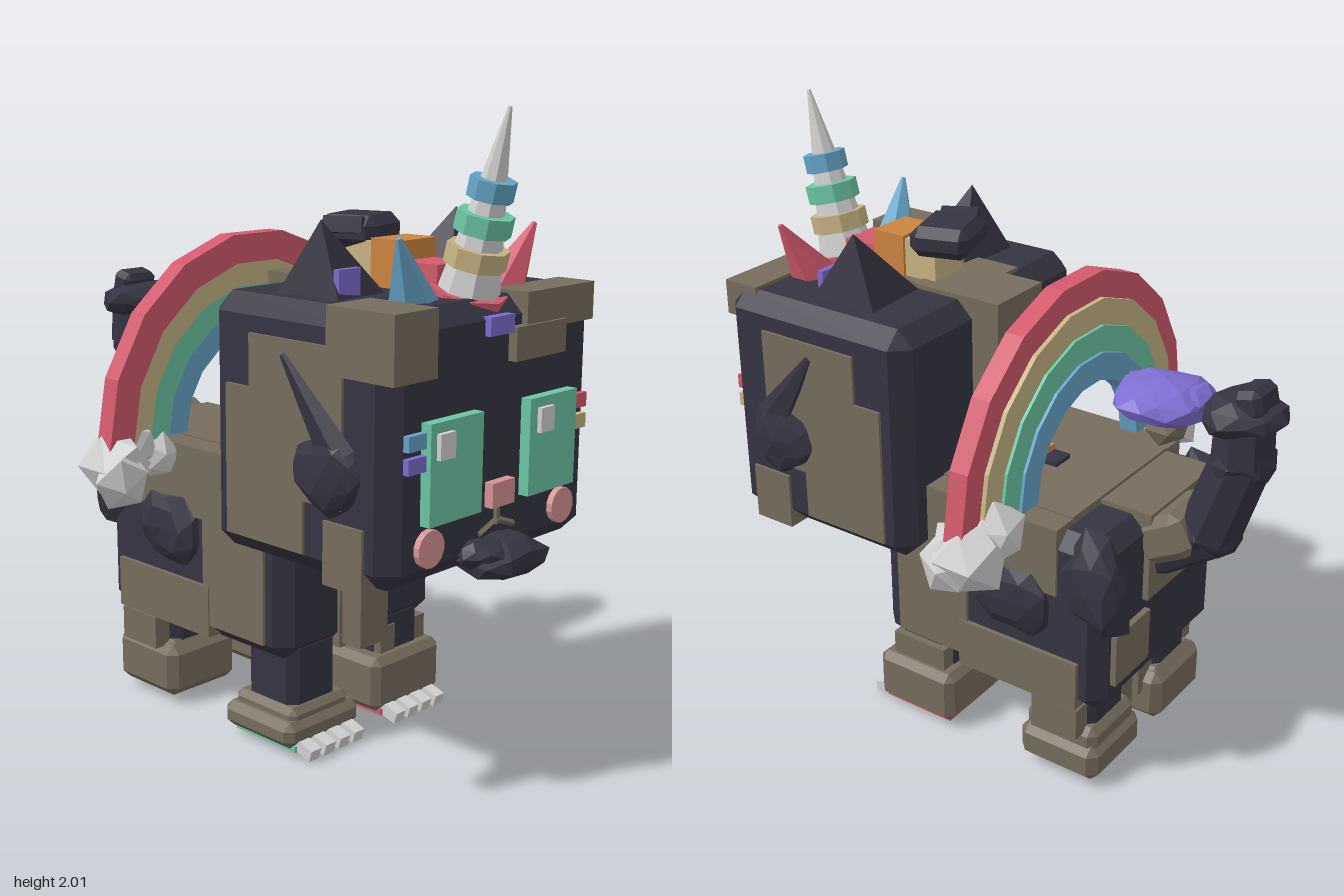
import * as THREE from 'three';
import { ConvexGeometry } from 'three/addons/geometries/ConvexGeometry.js';

const paint = (name, color) => Object.assign(new THREE.MeshStandardMaterial({ color }), { name });
const M = {
  dark: paint('charcoal', 0x353442), brown: paint('taupe', 0x776d5d), green: paint('mint', 0x6cc6a5),
  red: paint('rose red', 0xd35a6c), blue: paint('sky blue', 0x66a5c8), purple: paint('violet', 0x7d6ccf),
  orange: paint('orange', 0xcc8440), yellow: paint('sand', 0xc8b484), white: paint('light grey', 0xd2d2d2),
  pink: paint('pink', 0xd69393),
};

export function createModel() {
  const model = new THREE.Group();
  model.name = 'patchworkCreature';

  // Faceted mesh helper
  const add = (name, mat, geo) => {
    const g = geo.index ? geo.toNonIndexed() : geo;
    g.computeVertexNormals();
    const m = new THREE.Mesh(g, mat);
    m.name = name;
    model.add(m);
    return m;
  };
  // Box by its limits
  const box = (name, mat, x0, x1, y0, y1, z0, z1) => {
    const m = add(name, mat, new THREE.BoxGeometry(Math.abs(x1 - x0), y1 - y0, z1 - z0));
    m.position.set((x0 + x1) / 2, (y0 + y1) / 2, (z0 + z1) / 2);
    return m;
  };
  // Box with cut edges
  const chamfer = (name, mat, x0, x1, y0, y1, z0, z1, c) => {
    const h = [Math.abs(x1 - x0) / 2, (y1 - y0) / 2, (z1 - z0) / 2], pts = [];
    for (const sx of [-1, 1]) for (const sy of [-1, 1]) for (const sz of [-1, 1])
      for (let a = 0; a < 3; a++)
        pts.push(new THREE.Vector3(...[sx, sy, sz].map((s, i) => s * (h[i] - (i === a ? 0 : c)))));
    const m = add(name, mat, new ConvexGeometry(pts));
    m.position.set((x0 + x1) / 2, (y0 + y1) / 2, (z0 + z1) / 2);
    return m;
  };
  // Lumpy faceted ball, jittered by position so shared corners stay joined
  const blob = (name, mat, p, r, seed = 1, detail = 1, rot = [0, 0, 0]) => {
    const g = new THREE.IcosahedronGeometry(1, detail), a = g.attributes.position;
    const v = new THREE.Vector3();
    for (let i = 0; i < a.count; i++) {
      v.fromBufferAttribute(a, i);
      v.multiplyScalar(1 + 0.12 * Math.sin(v.x * 7 + v.y * 11 + v.z * 5 + seed * 2.3));
      a.setXYZ(i, v.x * r[0], v.y * r[1], v.z * r[2]);
    }
    const m = add(name, mat, g);
    m.position.set(...p);
    m.rotation.set(...rot);
    return m;
  };
  // Tapered rod between two points
  const rod = (name, mat, a, b, r0, r1, sides = 6) => {
    const A = new THREE.Vector3(...a), B = new THREE.Vector3(...b), d = B.clone().sub(A);
    const m = add(name, mat, new THREE.CylinderGeometry(r1, r0, d.length(), sides));
    m.position.copy(A).add(B).multiplyScalar(0.5);
    m.quaternion.setFromUnitVectors(new THREE.Vector3(0, 1, 0), d.normalize());
    return m;
  };

  // Body and its patches
  chamfer('body', M.dark, -0.36, 0.36, 0.3, 0.91, -0.58, 0.28, 0.05);
  box('chestPatch', M.brown, -0.12, 0.11, 0.3, 0.72, 0.1, 0.29);
  box('backPatch', M.brown, -0.28, 0.28, 0.84, 0.935, -0.42, 0.15);
  box('rumpPatch', M.brown, -0.28, 0.12, 0.62, 0.925, -0.6, -0.25);
  box('rearPatch', M.brown, 0.1, 0.3, 0.4, 0.58, -0.6, -0.5);
  box('bellyPatch', M.brown, -0.2, 0.2, 0.295, 0.4, -0.3, 0.1);
  for (const s of [-1, 1]) {
    box('flankPatch', M.brown, s * 0.28, s * 0.37, 0.35, 0.93, -0.08, 0.2);
    box('hipPatch', M.brown, s * 0.28, s * 0.37, 0.7, 0.93, -0.42, -0.08);
    box('lowerFlankPatch', M.brown, s * 0.28, s * 0.375, 0.31, 0.48, -0.5, -0.05);
    blob('flankTuft', M.dark, [s * 0.35, 0.64, -0.25], [0.055, 0.13, 0.15], 2);
    blob('hipTuft', M.dark, [s * 0.32, 0.75, -0.54], [0.08, 0.18, 0.11], 4, 1, [0.25, 0, 0]);
  }
  box('backCrestOrange', M.orange, -0.04, 0.04, 0.9, 0.97, -0.14, -0.04);
  box('backCrestDark', M.dark, -0.04, 0.04, 0.9, 0.95, -0.2, -0.14);

  // Legs and feet
  for (const s of [-1, 1]) {
    const frontZ = 0.155, backZ = -0.41, x = s * 0.2;
    for (const z of [frontZ, backZ]) {
      chamfer('leg', M.dark, x - 0.105, x + 0.105, 0.06, 0.36, z - 0.11, z + 0.11, 0.03);
      box('footPad', M.dark, x - 0.09, x + 0.09, 0.008, 0.04, z - 0.09, z + 0.08);
    }
    // Front feet: low slipper on one side, tall sock on the other
    const top = s > 0 ? 0.21 : 0.11;
    chamfer('frontFoot', M.brown, x - 0.165, x + 0.165, 0.025, top, 0, 0.31, 0.025);
    if (s > 0) {
      box('frontSockCuff', M.brown, 0.1, 0.17, 0.18, 0.3, 0.05, 0.27);
      box('frontSockCuff', M.brown, 0.25, 0.33, 0.18, 0.29, 0.05, 0.26);
    } else chamfer('frontFootCuff', M.brown, -0.33, -0.07, 0.09, 0.145, 0.02, 0.29, 0.02);
    box('frontSole', s > 0 ? M.red : M.green, x - 0.13, x + 0.13, 0.01, 0.03, 0.03, 0.3);
    for (let i = 0; i < 4; i++) {
      const n = box('claw', M.white, x - 0.022, x + 0.022, 0.005, 0.045, 0.28, 0.36);
      n.position.x += (i - 1.5) * 0.066;
      n.rotation.x = 0.3;
    }
    // Back feet
    chamfer('backFoot', M.brown, x - 0.15, x + 0.15, 0.02, s > 0 ? 0.15 : 0.2, -0.56, -0.265, 0.03);
    chamfer('backFootCuff', M.brown, x - 0.13, x + 0.13, 0.12, 0.21, -0.545, -0.28, 0.025);
    box('backSockOuter', M.brown, s * 0.3, s * 0.365, 0.19, 0.3, -0.5, -0.33);
    box('backSockInner', M.brown, s * 0.02, s * 0.12, 0.13, 0.29, -0.5, -0.33);
  }

  // Head and its patches
  chamfer('head', M.dark, -0.47, 0.47, 0.68, 1.465, 0.07, 0.8, 0.055);
  box('browCornerPatch', M.brown, -0.48, -0.3, 1.28, 1.475, 0.57, 0.82);
  box('browPatch', M.brown, 0.04, 0.28, 1.28, 1.38, 0.7, 0.83);
  box('browPatch', M.brown, 0.1, 0.43, 1.36, 1.475, 0.69, 0.82);
  box('napePatch', M.brown, -0.12, 0.12, 1.02, 1.48, -0.03, 0.3);
  box('crownPatch', M.brown, -0.2, 0.1, 1.4, 1.475, 0.12, 0.37);
  box('neckPatch', M.brown, -0.3, 0.12, 0.665, 1.02, 0.05, 0.16);
  box('hangingPatch', M.brown, -0.48, -0.38, 0.515, 0.72, 0.64, 0.71);
  for (const s of [-1, 1]) {
    box('sidePatch', M.brown, s * 0.4, s * 0.48, 0.9, 1.36, 0.26, 0.63);
    box('sidePatch', M.brown, s * 0.4, s * 0.48, 0.74, 1.2, 0.16, 0.48);
    box('jawPatch', M.brown, s * 0.38, s * 0.48, 0.67, 0.86, 0.56, 0.71);
    // Side tufts
    blob('cheekTuft', M.dark, [s * 0.475, 1.0, 0.58], [0.04, 0.12, 0.13], 3);
    const spike = rod('cheekTuftSpike', M.dark, [s * 0.475, 1.04, 0.62], [s * 0.5, 1.32, 0.42], 0.07, 0.012, 5);
    spike.scale.x = 0.45;

    // Ears
    const base = [[0.1, 0.27], [0.37, 0.25], [0.37, 0.52], [0.13, 0.5]];
    add('ear', M.dark, new ConvexGeometry([
      ...base.map(([x, z]) => new THREE.Vector3(s * x, 1.44, z)),
      new THREE.Vector3(s * 0.305, 1.68, 0.38)]));
    box('innerEar', M.purple, s * 0.26, s * 0.35, 1.46, 1.55, 0.475, 0.495);
    rod('sideHorn', s > 0 ? M.red : M.blue, [s * 0.2, 1.44, 0.64], [s * 0.31, 1.65, 0.68], 0.08, 0.008, 6);

    // Eyes, lashes and cheeks
    box('eye', M.green, s * 0.11, s * 0.34, 0.865, 1.16, 0.78, 0.835);
    const hx = s > 0 ? 0.145 : -0.315;
    box('eyeGlint', M.white, hx, hx + 0.065, 1.055, 1.13, 0.83, 0.85);
    box('upperLash', s > 0 ? M.red : M.blue, s * 0.34, s * 0.415, 1.09, 1.135, 0.78, 0.82);
    box('lowerLash', s > 0 ? M.yellow : M.purple, s * 0.34, s * 0.415, 1.025, 1.07, 0.78, 0.82);
    const cheek = add('cheek', M.pink, new THREE.CylinderGeometry(0.056, 0.056, 0.03, 14));
    cheek.position.set(s * 0.31, 0.795, 0.805);
    cheek.rotation.x = Math.PI / 2;
    rod('mouth', M.brown, [0, 0.815, 0.805], [s * 0.08, 0.785, 0.805], 0.01, 0.01, 4);
  }
  box('nose', M.pink, -0.052, 0.052, 0.86, 0.935, 0.79, 0.83);
  box('mouthLine', M.brown, -0.008, 0.008, 0.8, 0.86, 0.79, 0.812);
  box('foreheadMark', M.purple, -0.07, 0.04, 1.365, 1.42, 0.79, 0.82);
  blob('beard', M.dark, [-0.01, 0.715, 0.81], [0.16, 0.065, 0.15], 5);
  blob('beardTip', M.dark, [-0.1, 0.74, 0.84], [0.085, 0.045, 0.07], 1);

  // Mane blocks on the crown
  box('maneRed', M.red, -0.07, 0.07, 1.44, 1.55, 0.48, 0.62);
  box('maneOrange', M.orange, -0.08, 0.08, 1.44, 1.61, 0.37, 0.49);
  box('maneSand', M.yellow, -0.07, 0.07, 1.45, 1.6, 0.25, 0.37);
  chamfer('maneTuft', M.dark, -0.1, 0.12, 1.57, 1.67, 0.14, 0.34, 0.03).rotation.y = 0.3;
  box('maneTuftLock', M.dark, -0.13, 0.0, 1.61, 1.66, 0.2, 0.32).rotation.set(0, 0.5, -0.2);

  // Horn with coloured rings
  const hornAt = t => [0, 1.43 + 0.57 * t, 0.67 + 0.14 * t];
  rod('horn', M.white, hornAt(0), hornAt(1), 0.1, 0.006, 8);
  const hornRings = [[0, 0.08, 0.115, M.red], [0.21, 0.31, 0.093, M.yellow],
    [0.38, 0.48, 0.085, M.green], [0.55, 0.65, 0.069, M.blue]];
  for (const [a, b, r, mat] of hornRings) rod('hornRing', mat, hornAt(a), hornAt(b), r, r, 8);

  // Rainbow of stepped arches
  const bands = [[0.54, 0.635, -0.265, -0.2, M.red], [0.46, 0.55, -0.28, -0.215, M.yellow],
    [0.375, 0.465, -0.29, -0.225, M.green], [0.29, 0.38, -0.3, -0.235, M.blue]];
  for (const [r0, r1, z0, z1, mat] of bands) {
    const shape = new THREE.Shape(), N = 9;
    const at = (r, i) => [r * Math.cos(Math.PI * i / N), 0.95 + r * Math.sin(Math.PI * i / N)];
    shape.moveTo(...at(r1, 0));
    for (let i = 1; i <= N; i++) shape.lineTo(...at(r1, i));
    for (let i = N; i >= 0; i--) shape.lineTo(...at(r0, i));
    const g = new THREE.ExtrudeGeometry(shape, { depth: z1 - z0, bevelEnabled: false });
    add('rainbowBand', mat, g).position.z = z0;
  }
  // Clouds at the rainbow ends
  for (const s of [-1, 1]) {
    blob('cloud', M.white, [s * 0.58, 0.89, -0.25], [0.1, 0.13, 0.12], 2, 0);
    blob('cloud', M.white, [s * 0.6, 0.86, -0.2], [0.09, 0.1, 0.09], 4, 0, [0.4, 0.6, 0]);
    blob('cloud', M.white, [s * 0.49, 0.94, -0.28], [0.09, 0.1, 0.1], 6, 0, [0, 0.5, 0.4]);
    blob('cloud', M.white, [s * 0.41, 0.89, -0.25], [0.07, 0.08, 0.08], 3, 0, [0.3, 0, 0.4]);
  }

  // Tail
  const collar = chamfer('tailCollar', M.brown, -0.13, 0.13, 0.77, 0.92, -0.72, -0.54, 0.03);
  collar.rotation.x = 0.5;
  const tail = [[0, 0.74, -0.54], [0, 0.87, -0.74], [0, 1.14, -0.83], [0, 1.28, -0.83]];
  for (let i = 0; i < 3; i++) rod('tailSegment', M.dark, tail[i], tail[i + 1], 0.1, 0.095, 8);
  for (const p of tail.slice(1, 3)) blob('tailJoint', M.dark, p, [0.095, 0.095, 0.095], 0);
  blob('tailTip', M.dark, [0, 1.29, -0.82], [0.14, 0.065, 0.13], 3);
  chamfer('tailTipLock', M.dark, -0.06, 0.08, 1.3, 1.39, -0.91, -0.82, 0.02).rotation.x = 0.25;
  blob('tailTuft', M.purple, [0, 1.265, -0.56], [0.16, 0.065, 0.15], 2);
  blob('tailTuftLock', M.purple, [-0.1, 1.24, -0.44], [0.08, 0.05, 0.07], 5, 0);
  blob('tailTuftLock', M.purple, [0, 1.29, -0.68], [0.06, 0.05, 0.05], 1, 0);
  blob('tailTuftBase', M.brown, [0, 1.175, -0.57], [0.08, 0.06, 0.08], 1, 0);

  return model;
}
